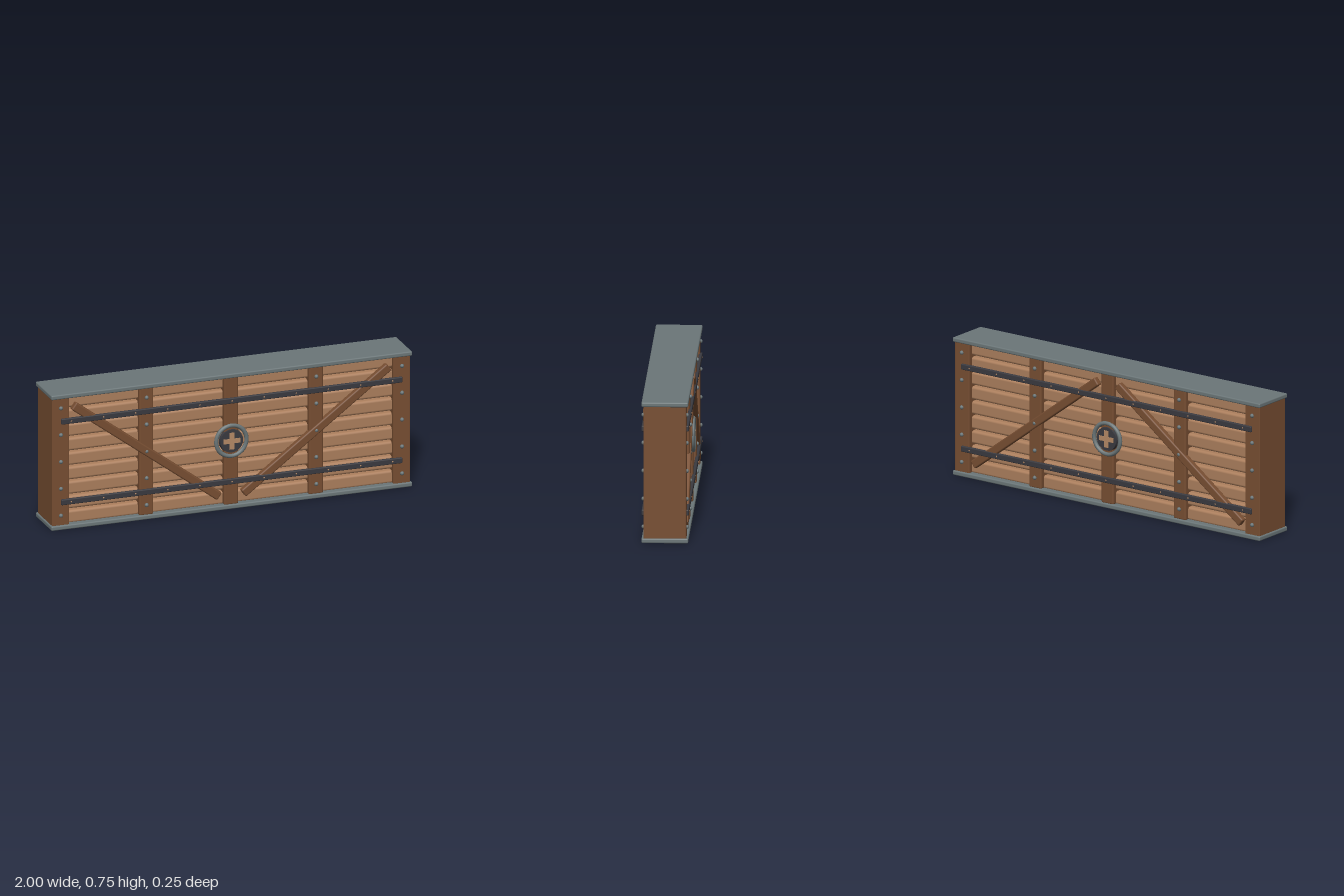
import * as THREE from 'three';
import { RoundedBoxGeometry } from 'three/addons/geometries/RoundedBoxGeometry.js';

const MID = 0.375; // half height of the whole barrier

function material(name, color) {
  const m = new THREE.MeshStandardMaterial({ color });
  m.name = name;
  return m;
}

export function createModel() {
  const model = new THREE.Group();
  model.name = 'woodenBarrier';

  const plankWood = material('plankWood', 0xac7f5d);
  const beamWood = material('beamWood', 0x774e32);
  const steel = material('steel', 0x6b7678);
  const iron = material('darkIron', 0x3a3a40);
  const brass = material('paleBronze', 0xb58a66);

  function add(parent, name, geometry, mat, x = 0, y = 0, z = 0) {
    const mesh = new THREE.Mesh(geometry, mat);
    mesh.name = name;
    mesh.position.set(x, y, z);
    parent.add(mesh);
    return mesh;
  }
  const block = (w, h, d, r) => new RoundedBoxGeometry(w, h, d, 2, r);

  // Steel caps along the top and bottom
  const capGeo = block(2, 0.025, 0.244, 0.007);
  add(model, 'bottomCap', capGeo, steel, 0, 0.0125);
  add(model, 'topCap', capGeo, steel, 0, 0.7355);

  // Horizontal planks with narrow gaps between them
  const plankGeo = block(1.86, 0.071, 0.176, 0.014);
  for (let i = -4; i <= 4; i++) add(model, 'plank', plankGeo, plankWood, 0, MID + i * 0.08);

  // Upright posts
  const endGeo = block(0.095, 0.71, 0.224, 0.006);
  const midGeo = block(0.08, 0.71, 0.224, 0.01);
  for (const x of [-0.945, 0.945]) add(model, 'endPost', endGeo, beamWood, x, MID);
  for (const x of [-0.47, 0, 0.47]) add(model, 'middlePost', midGeo, beamWood, x, MID);

  // Shared pieces of the two faces
  const braceGeo = block(1.006, 0.046, 0.034, 0.008);
  const bandGeo = block(1.89, 0.031, 0.018, 0.005);
  const rivetGeo = new THREE.SphereGeometry(0.011, 10, 8);
  const studGeo = new THREE.SphereGeometry(0.007, 8, 6);
  const ringGeo = new THREE.TorusGeometry(0.084, 0.0115, 8, 32);
  const discGeo = new THREE.CylinderGeometry(0.063, 0.066, 0.016, 24).rotateX(Math.PI / 2);
  const bar = (w, h) => new THREE.BoxGeometry(w, h, 0.008);

  // tilt is 1 for braces falling to the middle, -1 for braces rising to it
  function buildFace(name, tilt) {
    const face = new THREE.Group();
    face.name = name;

    for (const side of [-1, 1]) {
      const brace = add(face, 'brace', braceGeo, beamWood, side * 0.47, MID, 0.102);
      brace.rotation.z = side * tilt * 0.64;
    }

    // Iron bands and their studs
    for (const y of [0.152, 0.598]) {
      add(face, 'ironBand', bandGeo, iron, 0, y, 0.114);
      for (let i = -5; i <= 5; i++) add(face, 'bandStud', studGeo, brass, i * 0.178, y, 0.118);
    }

    // Rivets on the posts
    for (const x of [-0.945, -0.47, 0.47, 0.945]) {
      for (let i = -2; i <= 2; i++) add(face, 'rivet', rivetGeo, steel, x, MID + i * 0.1485, 0.113);
    }

    // Round emblem with a plain cross
    add(face, 'medallionRing', ringGeo, steel, 0, MID, 0.111);
    add(face, 'medallionDisc', discGeo, iron, 0, MID, 0.11);
    add(face, 'crossBar', bar(0.092, 0.026), brass, 0, MID, 0.1165);
    add(face, 'crossUpper', bar(0.026, 0.033), brass, 0, MID + 0.0295, 0.1165);
    add(face, 'crossLower', bar(0.026, 0.033), brass, 0, MID - 0.0295, 0.1165);
    model.add(face);
    return face;
  }

  buildFace('frontFittings', 1);
  buildFace('backFittings', -1).rotation.y = Math.PI;
  return model;
}
